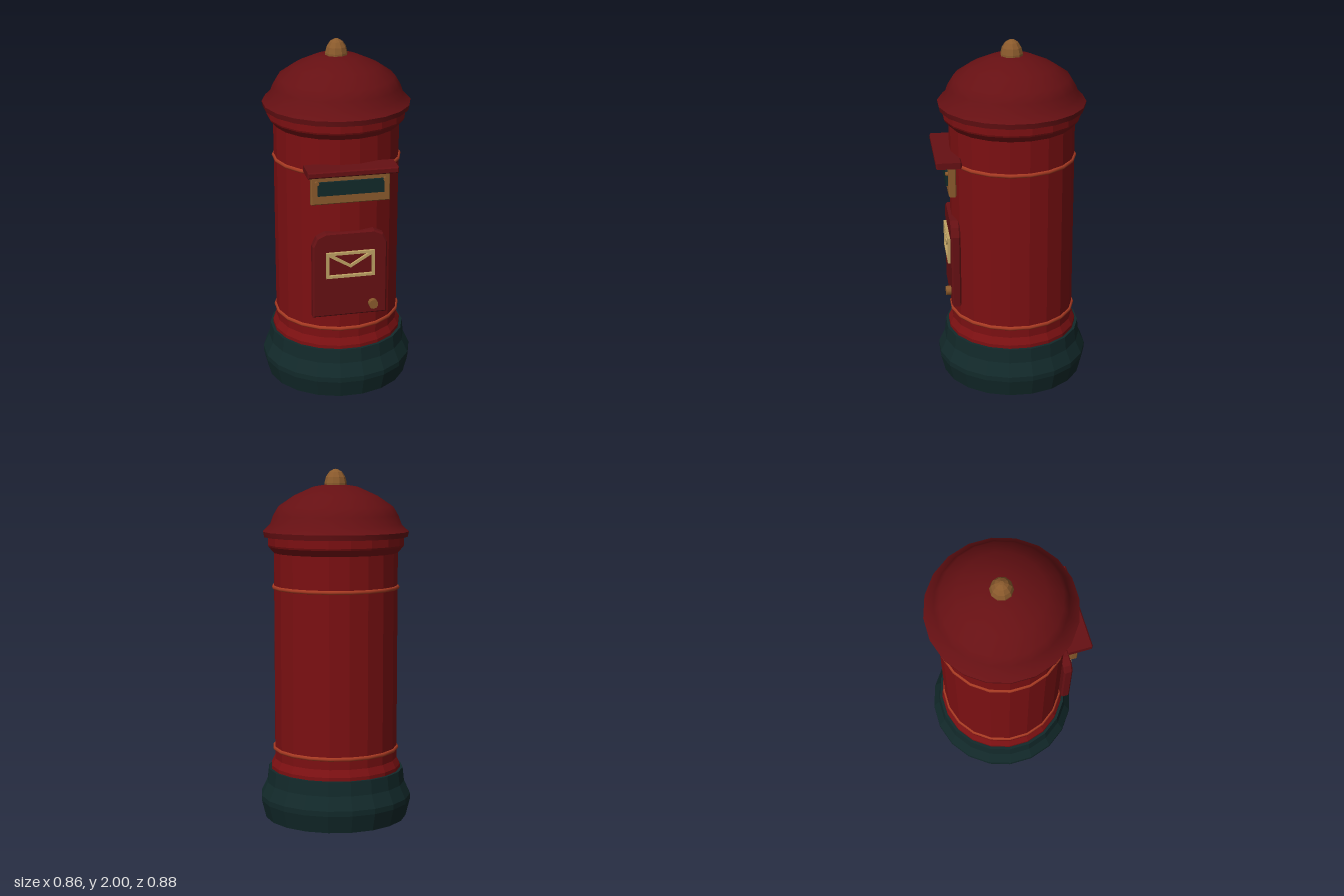
import * as THREE from 'three';
import { toCreasedNormals } from 'three/addons/utils/BufferGeometryUtils.js';

const SIDES = 20;
const CZ = -0.01; // centre of the round column in z

const mat = (name, color) => {
  const m = new THREE.MeshStandardMaterial({ color });
  m.name = name;
  return m;
};

export function createModel() {
  const red = mat('pillarRed', 0x7c1012);
  const darkRed = mat('deepRed', 0x661013);
  const green = mat('darkGreen', 0x12292a);
  const brass = mat('brass', 0x8a5a2c);
  const trim = mat('trimOrange', 0xa83a22);
  const pale = mat('paleGold', 0xbfa264);

  const model = new THREE.Group();
  model.name = 'pillarPostBox';

  const add = (name, geometry, material, x = 0, y = 0, z = 0) => {
    const mesh = new THREE.Mesh(geometry, material);
    mesh.name = name;
    mesh.position.set(x, y, z);
    model.add(mesh);
    return mesh;
  };

  // Turned part: profile of [flat radius, y] pairs, a flat side facing front
  const turned = (name, profile, material, crease, sides = SIDES) => {
    const k = 1 / Math.cos(Math.PI / sides);
    const pts = profile.map(([r, y]) => new THREE.Vector2(r * k, y));
    const geo = new THREE.LatheGeometry(pts, sides).rotateY(Math.PI / sides);
    return add(name, toCreasedNormals(geo, crease), material, 0, 0, CZ);
  };

  // Bevelled plate whose outer outline and depth include the bevel
  const plate = (shape, z0, z1, bevel) => new THREE.ExtrudeGeometry(shape, {
    depth: z1 - z0 - 2 * bevel, bevelEnabled: bevel > 0, bevelSize: bevel,
    bevelThickness: bevel, bevelOffset: -bevel, bevelSegments: 1, curveSegments: 2,
  }).translate(0, 0, z0 + bevel);

  const rect = (Type, x0, y0, x1, y1) => {
    const p = new Type();
    p.moveTo(x0, y0);
    p.lineTo(x1, y0);
    p.lineTo(x1, y1);
    p.lineTo(x0, y1);
    p.closePath();
    return p;
  };

  // Column
  turned('base', [[0, 0], [0.405, 0], [0.43, 0.1], [0.43, 0.13], [0.395, 0.205],
    [0.386, 0.285], [0, 0.285]], green, 0.2);
  turned('body', [[0.37, 0.28], [0.37, 0.305], [0.35, 0.345], [0.35, 1.53],
    [0.38, 1.565], [0.384, 1.575], [0.384, 1.62], [0, 1.62]], red, 0.2);
  turned('domeRoof', [[0, 1.62], [0.405, 1.62], [0.411, 1.65], [0.37, 1.69],
    [0.352, 1.74], [0.322, 1.79], [0.235, 1.85], [0.125, 1.9], [0.055, 1.912],
    [0, 1.914]], darkRed, 0.65);
  turned('finial', [[0.06, 1.9], [0.06, 1.922], [0.052, 1.955], [0.035, 1.983],
    [0.012, 1.998], [0, 2]], brass, 0.2, 10);

  // Trim rings
  for (const [name, y] of [['lowerRing', 0.405], ['upperRing', 1.335]]) {
    const ring = new THREE.TorusGeometry(0.354, 0.012, 6, SIDES)
      .rotateX(Math.PI / 2).rotateY(Math.PI / SIDES);
    add(name, ring, trim, 0, y, CZ);
  }

  // Letter slot
  add('slotFrame', plate(rect(THREE.Shape, -0.22, 1.175, 0.22, 1.345), 0.325, 0.367, 0.006), brass);
  add('slotOpening', new THREE.BoxGeometry(0.37, 0.078, 0.03), green, 0, 1.269, 0.365);
  for (const s of [-1, 1]) {
    const screw = new THREE.CylinderGeometry(0.012, 0.012, 0.024, 8).rotateX(Math.PI / 2);
    add(s < 0 ? 'rightScrew' : 'leftScrew', screw, brass, s * 0.19, 1.303, 0.37);
  }
  const hood = rect(THREE.Shape, -0.25, 1.352, 0.25, 1.388);
  add('slotHood', plate(hood, 0.295, 0.436, 0.007), darkRed);

  // Collection door with rounded upper corners
  const w = 0.212, top = 1.0, r = 0.075;
  const door = new THREE.Shape();
  door.moveTo(-w, 0.495);
  door.lineTo(w, 0.495);
  door.lineTo(w, top - r);
  door.quadraticCurveTo(w - 0.01, top - 0.01, w - r, top);
  door.lineTo(r - w, top);
  door.quadraticCurveTo(0.01 - w, top - 0.01, -w, top - r);
  door.closePath();
  add('door', plate(door, 0.305, 0.358, 0.009), darkRed);
  const knob = new THREE.CylinderGeometry(0.027, 0.027, 0.036, 10).rotateX(Math.PI / 2);
  add('doorKnob', knob, brass, 0.13, 0.56, 0.37);

  // Envelope emblem: rim and folded flap
  const rim = rect(THREE.Shape, -0.137, 0.735, 0.137, 0.887);
  rim.holes.push(rect(THREE.Path, -0.122, 0.75, 0.122, 0.872));
  add('envelopeRim', plate(rim, 0.35, 0.374, 0), pale);
  const flap = new THREE.Shape();
  [[-0.128, 0.868], [0, 0.792], [0.128, 0.868], [0.128, 0.88], [0.116, 0.88],
    [0, 0.809], [-0.116, 0.88], [-0.128, 0.88]]
    .forEach(([x, y], i) => (i ? flap.lineTo(x, y) : flap.moveTo(x, y)));
  flap.closePath();
  add('envelopeFlap', plate(flap, 0.35, 0.372, 0), pale);

  return model;
}
